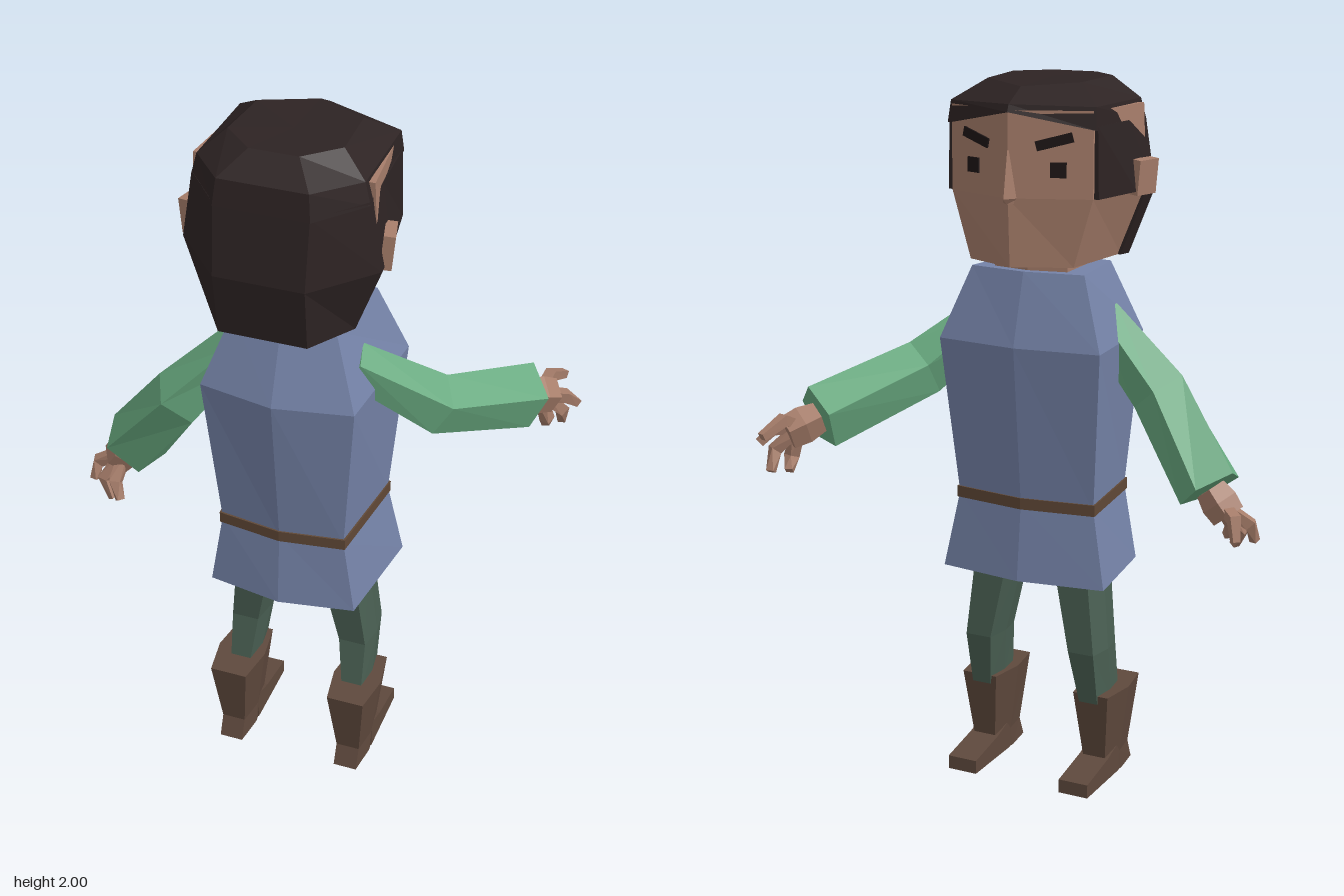
import * as THREE from 'three';

const mat = (name, color, flatShading = true) => {
  const m = new THREE.MeshStandardMaterial({ color });
  m.name = name;
  m.flatShading = flatShading;
  return m;
};
const V = (x, y, z) => new THREE.Vector3(x, y, z);
const CX = -0.01; // body centre line

// Closed solid through rings of equal point count, always wound outward
function loft(rings) {
  const tris = [], n = rings[0].length;
  const mid = r => r.reduce((a, p) => a.add(p), V(0, 0, 0)).divideScalar(n);
  for (let i = 0; i < rings.length - 1; i++) {
    for (let j = 0; j < n; j++) {
      const k = (j + 1) % n, a = rings[i], b = rings[i + 1];
      tris.push([a[j], a[k], b[k]], [a[j], b[k], b[j]]);
    }
  }
  const first = rings[0], last = rings[rings.length - 1], c0 = mid(first), c1 = mid(last);
  for (let j = 0; j < n; j++) {
    const k = (j + 1) % n;
    tris.push([c0, first[k], first[j]], [c1, last[j], last[k]]);
  }
  let volume = 0;
  for (const [a, b, c] of tris) {
    volume += a.clone().sub(c0).dot(b.clone().sub(c0).cross(c.clone().sub(c0)));
  }
  const pts = tris.flatMap(([a, b, c]) => (volume > 0 ? [a, b, c] : [a, c, b]));
  const g = new THREE.BufferGeometry().setFromPoints(pts);
  g.computeVertexNormals();
  return g;
}

// Faceted limb along a path
function limb(path, radii, sides, turn = 0) {
  return loft(path.map((p, i) => {
    const t = path[Math.min(i + 1, path.length - 1)].clone().sub(path[Math.max(i - 1, 0)]).normalize();
    const u = V(0, 1, 0).cross(t).normalize(), v = t.clone().cross(u);
    return Array.from({ length: sides }, (_, k) => {
      const a = turn + (k / sides) * Math.PI * 2;
      return p.clone().addScaledVector(u, Math.cos(a) * radii[i]).addScaledVector(v, Math.sin(a) * radii[i]);
    });
  }));
}

// Six-sided section with ridges at front and back
const bodyRing = (y, fx, fz, fr, bx, bz, br, o = 0) => [
  V(CX, y, fr - o), V(CX + fx + o, y, fz - o), V(CX + bx + o, y, bz + o),
  V(CX, y, br + o), V(CX - bx - o, y, bz + o), V(CX - fx - o, y, fz - o)];

// Six-sided section with ridges at both sides
const legRing = (y, x0, x1, z0, z1) => {
  const m = (z0 + z1) / 2, e = (x1 - x0) * 0.12;
  return [V(x0, y, m), V(x0 + e, y, z0), V(x1 - e, y, z0),
    V(x1, y, m), V(x1 - e, y, z1), V(x0 + e, y, z1)];
};

// Mirrored outline around the centre line: half points run front to back
const mirrored = half => [
  ...half.map(([x, y, z]) => V(CX + x, y, z)),
  ...half.slice().reverse().filter(p => p[0] > 0).map(([x, y, z]) => V(CX - x, y, z))];

export function createModel() {
  const skin = mat('skin', 0xa67d6a), hair = mat('hair', 0x2d2323), tunicMat = mat('tunic blue', 0x7583a8);
  const sleeve = mat('sleeve green', 0x69aa80), trousers = mat('trouser green', 0x4a6053);
  const leather = mat('boot leather', 0x5f493d), beltMat = mat('belt brown', 0x604836), dark = mat('eye dark', 0x1d1515);

  const model = new THREE.Group();
  model.name = 'figure';
  const add = (name, geometry, material, parent = model) => {
    const m = new THREE.Mesh(geometry, material);
    m.name = name;
    parent.add(m);
    return m;
  };

  // Tunic and belt
  add('tunic', loft([
    bodyRing(0.62, 0.25, -0.02, -0.055, 0.21, 0.29, 0.325),
    bodyRing(0.84, 0.208, 0, -0.03, 0.175, 0.28, 0.305),
    bodyRing(1.29, 0.243, -0.045, -0.075, 0.212, 0.31, 0.35),
    bodyRing(1.49, 0.17, 0.01, -0.015, 0.14, 0.245, 0.27)]), tunicMat);
  add('belt', loft([0.825, 0.857].map(y => bodyRing(y, 0.208, 0, -0.03, 0.175, 0.28, 0.305, 0.006))), beltMat);

  // Legs and boots
  for (const s of [-1, 1]) {
    const leg = new THREE.Group();
    leg.name = s > 0 ? 'leftLeg' : 'rightLeg';
    leg.position.x = CX + 0.005;
    model.add(leg);
    const rings = rows => loft(rows.map(([y, a, b, c, d]) => legRing(y, s * a, s * b, c, d)));
    add('trouserLeg', rings([[0.66, 0.055, 0.19, 0.04, 0.2], [0.4, 0.112, 0.215, 0.03, 0.18],
      [0.24, 0.135, 0.21, 0.065, 0.21]]), trousers, leg);
    add('boot', rings([[0.265, 0.108, 0.25, 0.065, 0.285], [0.06, 0.134, 0.224, 0.095, 0.255],
      [0, 0.134, 0.224, 0.1, 0.28]]), leather, leg);
    add('foot', loft([[0.17, 0.09], [0.095, 0.065], [-0.045, 0.04]].map(([z, h]) =>
      [V(s * 0.134, 0, z), V(s * 0.224, 0, z), V(s * 0.224, h, z), V(s * 0.134, h, z)])), leather, leg);
  }

  // Head
  const head = new THREE.Group();
  head.name = 'head';
  model.add(head);
  add('neck', loft([1.47, 1.56].map(y => bodyRing(y, 0.11, 0.03, 0.01, 0.1, 0.23, 0.26))), skin, head);
  const faceRing = (y, fx, bx, f, bz) => mirrored([[0, y, f], [fx, y, -0.025], [bx, y, bz]]);
  add('face', loft([faceRing(1.515, 0.155, 0.175, -0.095, 0.23), faceRing(1.7, 0.21, 0.245, -0.105, 0.24),
    faceRing(1.93, 0.21, 0.235, -0.105, 0.24)]), skin, head);
  add('nose', loft([[1.825, 0.012, -0.108], [1.7, 0.026, -0.13], [1.685, 0.022, -0.112]].map(([y, w, z]) =>
    [V(CX, y, z), V(CX + w, y, -0.09), V(CX - w, y, -0.09)])), skin, head);

  // Ears, eyes and brows
  for (const s of [-1, 1]) {
    const side = s > 0 ? 'left' : 'right';
    const ear = add(side + 'Ear', new THREE.BoxGeometry(0.03, 0.095, 0.08), skin, head);
    ear.position.set(CX + s * 0.257, 1.738, 0.195);
    ear.rotation.set(0, s * 0.25, -s * 0.1);
    const plate = (name, x, y, w, h, tilt) => {
      const p = add(side + name, new THREE.BoxGeometry(w, h, 0.009), dark, head);
      p.position.set(CX + s * x, y, -0.106 + x * 0.381);
      p.rotation.set(0, -s * 0.364, s * tilt);
    };
    plate('Eye', 0.125, 1.776, 0.043, 0.04, 0);
    plate('Brow', 0.115, 1.85, 0.1, 0.026, 0.25);
  }

  // Hair: crown, sides down to the sideburns, and the long back
  add('hairCrown', loft([
    mirrored([[0, 1.925, -0.108], [0.22, 1.88, -0.03], [0.232, 1.88, 0.265], [0.125, 1.88, 0.392]]),
    mirrored([[0, 1.945, -0.1], [0.215, 1.94, -0.02], [0.217, 1.94, 0.26], [0.118, 1.95, 0.38]]),
    mirrored([[0, 1.985, -0.03], [0.14, 1.995, 0.05], [0.15, 2, 0.22], [0.065, 2, 0.3]])]), hair, head);
  add('hairSides', loft([
    mirrored([[0.224, 1.7, -0.02], [0.253, 1.7, 0.16], [0.263, 1.7, 0.26], [0.12, 1.7, 0.418]]),
    mirrored([[0.22, 1.89, -0.02], [0.229, 1.89, 0.16], [0.23, 1.89, 0.265], [0.124, 1.89, 0.39]])]), hair, head);
  add('hairBack', loft([
    mirrored([[0.183, 1.515, 0.215], [0.192, 1.515, 0.25], [0.118, 1.53, 0.398]]),
    mirrored([[0.252, 1.7, 0.23], [0.263, 1.7, 0.26], [0.12, 1.7, 0.418]])]), hair, head);

  // Arms: sleeve path, then palm and bent fingers as [knuckle, tip]
  const arms = [
    { name: 'leftArm', path: [V(0.14, 1.36, 0.17), V(0.33, 1.18, 0.03), V(0.51, 1.075, -0.24)],
      palm: V(0.57, 1.04, -0.31),
      fingers: [[V(0.56, 1.085, -0.34), V(0.585, 1.05, -0.41)], [V(0.615, 1.045, -0.31), V(0.642, 1.01, -0.34)],
        [V(0.605, 0.99, -0.32), V(0.6, 0.935, -0.35)], [V(0.57, 0.97, -0.29), V(0.56, 0.935, -0.32)]] },
    { name: 'rightArm', path: [V(-0.16, 1.35, 0.16), V(-0.33, 1.15, 0.19), V(-0.51, 0.91, 0.13)],
      palm: V(-0.565, 0.84, 0.13),
      fingers: [[V(-0.6, 0.85, 0.075), V(-0.61, 0.79, 0.065)], [V(-0.625, 0.82, 0.14), V(-0.63, 0.77, 0.16)],
        [V(-0.59, 0.79, 0.175), V(-0.56, 0.74, 0.19)], [V(-0.55, 0.8, 0.19), V(-0.53, 0.755, 0.21)]] }];
  for (const { name, path, palm, fingers } of arms) {
    const arm = new THREE.Group();
    arm.name = name;
    model.add(arm);
    add('sleeve', limb(path, [0.06, 0.085, 0.095], 5, Math.PI / 2), sleeve, arm);
    add('palm', limb([path[2], path[2].clone().lerp(palm, 0.5), palm], [0.045, 0.055, 0.05], 5, 0.3), skin, arm);
    fingers.forEach(([knuckle, tip], i) => {
      const root = path[2].clone().lerp(palm, 0.6);
      add('finger' + (i + 1), limb([root, knuckle, tip], [0.022, 0.022, 0.015], 4, Math.PI / 4), skin, arm);
    });
  }
  return model;
}
